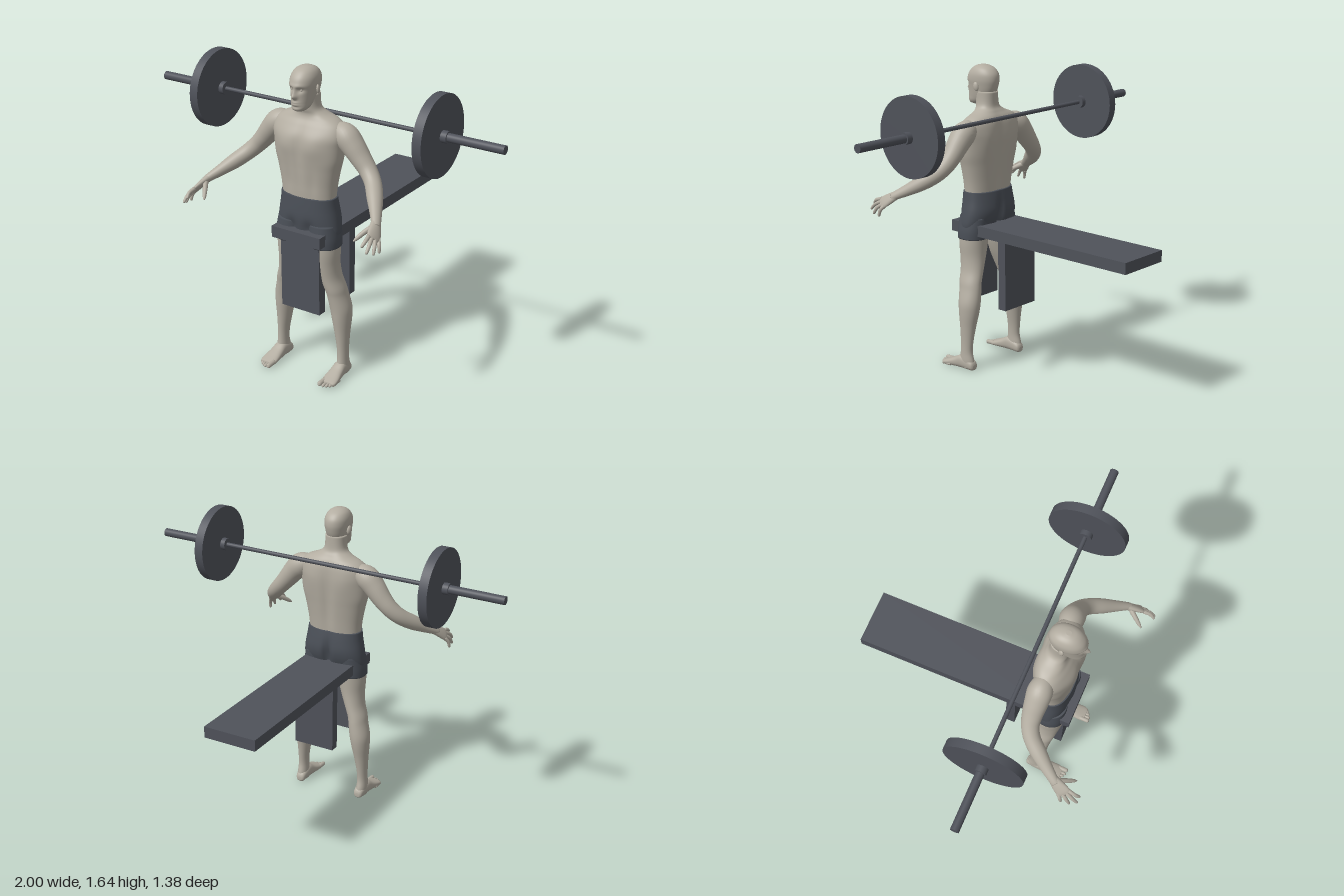
import * as THREE from 'three';

const mat = (name, color) => {
  const m = new THREE.MeshStandardMaterial({ color });
  m.name = name;
  return m;
};
const gauss = (d, s) => Math.exp(-(d * d) / (2 * s * s));

// Smooth (Catmull-Rom) resampling of rows of numbers
function resample(rows, n) {
  const out = [], last = rows.length - 1;
  for (let i = 0; i <= n; i++) {
    const f = (i / n) * last, k = Math.min(Math.floor(f), last - 1), t = f - k;
    const [a, b, c, d] = [-1, 0, 1, 2].map((o) => rows[Math.min(last, Math.max(0, k + o))]);
    out.push(b.map((_, j) => b[j] + 0.5 * t * (c[j] - a[j]
      + t * (2 * a[j] - 5 * b[j] + 4 * c[j] - d[j] + t * (3 * (b[j] - c[j]) + d[j] - a[j])))));
  }
  return out;
}

// Closed skin over equal-length rings, capped at both ends
function skinRings(rings) {
  const pos = [], index = [], m = rings[0].length, n = rings.length;
  rings.forEach((r) => r.forEach((p) => pos.push(p.x, p.y, p.z)));
  for (let i = 0; i < n - 1; i++) {
    for (let j = 0; j < m; j++) {
      const a = i * m + j, b = i * m + (j + 1) % m;
      index.push(a, a + m, b, b, a + m, b + m);
    }
  }
  for (const i of [0, n - 1]) {
    const c = rings[i].reduce((s, p) => s.add(p), new THREE.Vector3()).divideScalar(m);
    const id = pos.length / 3;
    pos.push(c.x, c.y, c.z);
    for (let j = 0; j < m; j++) {
      const a = i * m + j, b = i * m + (j + 1) % m;
      index.push(...(i === 0 ? [id, a, b] : [id, b, a]));
    }
  }
  const g = new THREE.BufferGeometry();
  g.setAttribute('position', new THREE.Float32BufferAttribute(pos, 3));
  g.setIndex(index);
  g.computeVertexNormals();
  return g;
}

// Stacked horizontal sections, rows [y, centreX, halfWidth, zFront, zBack], y ascending
function loft(rows, { steps = 40, segs = 40, power = 2, relief = null } = {}) {
  const bend = (v) => Math.sign(v) * Math.abs(v) ** (2 / power);
  return skinRings(resample(rows, steps).map(([y, cx, w, zf, zb]) =>
    Array.from({ length: segs }, (_, j) => {
      const a = (j / segs) * Math.PI * 2, s = Math.sin(a);
      const x = bend(Math.cos(a)) * Math.max(w, 0.001);
      const z = (zf + zb) / 2 + bend(s) * (zf - zb) / 2;
      return new THREE.Vector3(cx + x, y, z + (relief ? relief(x, y, s) : 0));
    })));
}

// Tapered limb, rows [x, y, z, radius, radius2]; radius lies along the wide direction
function limb(rows, wide, steps = 24, segs = 20) {
  const s = resample(rows, steps), at = (i) => new THREE.Vector3(...s[i].slice(0, 3));
  return skinRings(s.map(([, , , r, r2], i) => {
    const t = at(Math.min(i + 1, steps)).sub(at(Math.max(i - 1, 0))).normalize();
    const u = wide.clone().addScaledVector(t, -wide.dot(t)).normalize();
    const v = u.clone().cross(t);
    return Array.from({ length: segs }, (_, j) => {
      const a = (j / segs) * Math.PI * 2;
      return at(i).addScaledVector(u, Math.cos(a) * r).addScaledVector(v, Math.sin(a) * r2);
    });
  }));
}

// Muscle relief: chest, breastbone, spine groove and shoulder blades
function torsoRelief(x, y, s) {
  const ax = Math.abs(x);
  if (s > 0) {
    return s * (0.012 * gauss(ax - 0.08, 0.045) * gauss(y - 1.25, 0.045)
      - 0.006 * gauss(x, 0.012) * gauss(y - 1.2, 0.1)
      - 0.005 * gauss(ax - 0.07, 0.015) * gauss(y - 1.05, 0.06));
  }
  return -s * (0.014 * gauss(x, 0.02) * gauss(y - 1.15, 0.13)
    - 0.008 * gauss(ax - 0.1, 0.04) * gauss(y - 1.27, 0.06));
}

// Face relief: nose, eye sockets, brow, lips and chin
function faceRelief(x, y, s) {
  if (s <= 0) return 0;
  const ax = Math.abs(x);
  return s * (0.02 * gauss(x, 0.009) * gauss(y - 1.504, 0.009)
    + 0.012 * gauss(x, 0.007) * gauss(y - 1.524, 0.014)
    - 0.011 * gauss(ax - 0.026, 0.012) * gauss(y - 1.536, 0.009)
    + 0.004 * gauss(ax - 0.02, 0.02) * gauss(y - 1.556, 0.007)
    + 0.005 * gauss(x, 0.014) * (gauss(y - 1.475, 0.004) + gauss(y - 1.463, 0.004))
    - 0.004 * gauss(x, 0.02) * gauss(y - 1.452, 0.005));
}

export function createModel() {
  const model = new THREE.Group();
  model.name = 'lifterWithBarbellAndBench';
  const skin = mat('skin', 0xb3ada1);
  const cloth = mat('shortsCloth', 0x4a4f57);
  const steel = mat('darkSteel', 0x4f525a);
  const add = (name, geo, material, parent = model) => {
    const mesh = new THREE.Mesh(geo, material);
    mesh.name = name;
    parent.add(mesh);
    return mesh;
  };
  const group = (name) => {
    const g = new THREE.Group();
    g.name = name;
    model.add(g);
    return g;
  };

  // Bench: long seat and two board legs
  const bench = group('bench');
  add('benchSeat', new THREE.BoxGeometry(0.29, 0.06, 1.18), steel, bench).position.set(0, 0.775, -0.1);
  for (const [name, z] of [['benchFrontLeg', 0.43], ['benchRearLeg', 0.155]]) {
    add(name, new THREE.BoxGeometry(0.23, 0.385, 0.05), steel, bench).position.set(0, 0.5525, z);
  }

  // Barbell across the upper back
  const barbell = group('barbell');
  barbell.position.set(0, 1.37, 0.24);
  const rod = (name, r, x0, x1) => {
    const g = new THREE.CylinderGeometry(r, r, Math.abs(x1 - x0), 64).rotateZ(Math.PI / 2);
    add(name, g, steel, barbell).position.x = (x0 + x1) / 2;
  };
  rod('bar', 0.011, -0.62, 0.62);
  for (const s of [1, -1]) {
    rod('innerCollar', 0.033, s * 0.6, s * 0.627);
    rod('weightPlate', 0.204, s * 0.626, s * 0.674);
    rod('outerCollar', 0.03, s * 0.673, s * 0.705);
    rod('sleeve', 0.022, s * 0.7, s);
  }

  // Torso with neck
  const man = group('man');
  add('torso', loft([
    [0.95, 0, 0.146, 0.443, 0.282], [1.0, 0, 0.15, 0.447, 0.277], [1.05, 0, 0.157, 0.45, 0.272],
    [1.12, 0, 0.171, 0.456, 0.264], [1.18, 0, 0.186, 0.46, 0.258], [1.25, 0, 0.194, 0.46, 0.254],
    [1.3, 0, 0.2, 0.453, 0.254], [1.345, 0, 0.188, 0.43, 0.258], [1.375, 0, 0.152, 0.41, 0.268],
    [1.4, 0, 0.092, 0.404, 0.285], [1.43, 0, 0.06, 0.412, 0.3], [1.5, 0, 0.055, 0.42, 0.303],
  ], { steps: 66, segs: 72, power: 2.25, relief: torsoRelief }), skin, man);

  // Head, ears and eyes
  add('head', loft([
    [1.425, 0, 0.018, 0.455, 0.41], [1.432, 0, 0.032, 0.47, 0.39], [1.447, 0, 0.043, 0.477, 0.36],
    [1.47, 0, 0.05, 0.476, 0.325], [1.5, 0, 0.056, 0.475, 0.305], [1.53, 0, 0.061, 0.476, 0.294],
    [1.56, 0, 0.065, 0.478, 0.289], [1.59, 0, 0.063, 0.468, 0.294], [1.615, 0, 0.052, 0.447, 0.313],
    [1.63, 0, 0.034, 0.423, 0.34], [1.637, 0, 0.012, 0.395, 0.37],
  ], { steps: 80, segs: 96, power: 2.15, relief: faceRelief }), skin, man);

  // Shorts: pelvis
  add('shortsPelvis', loft([
    [0.76, 0, 0.172, 0.445, 0.295], [0.8, 0, 0.177, 0.452, 0.277], [0.84, 0, 0.174, 0.456, 0.264],
    [0.88, 0, 0.168, 0.457, 0.26], [0.93, 0, 0.159, 0.454, 0.266], [0.978, 0, 0.153, 0.45, 0.275],
  ], {
    steps: 30, segs: 72, power: 2.3,
    relief: (x, y, s) => (s < 0 ? -s * 0.03 * gauss(x, 0.012) * gauss(y - 0.84, 0.05)
      : -s * 0.015 * gauss(Math.abs(x) - 0.05, 0.02) * gauss(y - 0.81, 0.03)),
  }), cloth, man);

  for (const s of [1, -1]) {
    const side = s > 0 ? 'left' : 'right';
    const flip = (rows) => rows.map(([a, x, ...r]) => [a, x * s, ...r]);
    const flipX = (rows) => rows.map(([x, ...r]) => [x * s, ...r]);

    const ear = add(side + 'Ear', new THREE.SphereGeometry(1, 16, 12), skin, man);
    ear.scale.set(0.009, 0.024, 0.015);
    ear.position.set(s * 0.066, 1.527, 0.375);
    ear.rotation.set(0.2, s * 0.4, 0);
    add(side + 'Eye', new THREE.SphereGeometry(0.009, 16, 12), skin, man).position.set(s * 0.026, 1.536, 0.454);

    // Shorts leg and bare leg
    add(side + 'ShortsLeg', loft(flip([
      [0.722, 0.1, 0.08, 0.456, 0.29], [0.77, 0.098, 0.081, 0.456, 0.285], [0.84, 0.09, 0.078, 0.45, 0.28],
    ]), { steps: 12, power: 2.2 }), cloth, man);
    add(side + 'Leg', loft(flip([
      [0.01, 0.187, 0.027, 0.395, 0.3], [0.05, 0.188, 0.029, 0.395, 0.303], [0.1, 0.188, 0.027, 0.388, 0.314],
      [0.16, 0.186, 0.029, 0.387, 0.31], [0.24, 0.181, 0.038, 0.392, 0.298], [0.32, 0.176, 0.049, 0.4, 0.282],
      [0.38, 0.17, 0.054, 0.405, 0.277], [0.45, 0.156, 0.05, 0.414, 0.282], [0.49, 0.147, 0.05, 0.422, 0.287],
      [0.55, 0.125, 0.053, 0.432, 0.294], [0.62, 0.108, 0.064, 0.444, 0.298], [0.7, 0.1, 0.076, 0.452, 0.295],
      [0.8, 0.098, 0.075, 0.45, 0.29],
    ]), { steps: 60 }), skin, man);

    // Foot, lofted heel to toe, then laid flat
    add(side + 'Foot', loft(flip([
      [0.295, 0.185, 0.012, -0.008, -0.03], [0.305, 0.185, 0.025, 0, -0.05], [0.34, 0.186, 0.031, 0, -0.07],
      [0.38, 0.187, 0.034, 0, -0.078], [0.42, 0.188, 0.038, 0, -0.058], [0.46, 0.19, 0.043, 0, -0.04],
      [0.49, 0.191, 0.042, 0, -0.028], [0.505, 0.19, 0.034, -0.004, -0.022],
    ]), { steps: 30, power: 2.4 }).rotateX(Math.PI / 2), skin, man);
    for (let i = 0; i < 5; i++) {
      const x = 0.161 + [0, 0.021, 0.037, 0.051, 0.063][i], r = i ? 0.0085 : 0.0125;
      const tip = 0.535 - [0, 0.002, 0.01, 0.02, 0.033][i];
      add(side + 'Toe', limb(flipX([
        [x, r + 0.004, tip - 0.06, r, r], [x, r + 0.002, tip - 0.015, r, r],
        [x, r, tip - 0.004, r * 0.8, r * 0.8], [x, r, tip, r * 0.2, r * 0.2],
      ]), new THREE.Vector3(1, 0, 0), 12, 12), skin, man);
    }

    // Arm from shoulder to wrist
    const wide = new THREE.Vector3(0.415 * s, -0.461, -0.784);
    add(side + 'Arm', limb(flipX([
      [0.115, 1.335, 0.335, 0.02, 0.02], [0.15, 1.325, 0.335, 0.047, 0.047], [0.197, 1.303, 0.335, 0.063, 0.063],
      [0.24, 1.26, 0.335, 0.06, 0.058], [0.285, 1.205, 0.335, 0.053, 0.05], [0.33, 1.155, 0.342, 0.046, 0.044],
      [0.375, 1.11, 0.37, 0.043, 0.041], [0.42, 1.068, 0.425, 0.041, 0.038], [0.465, 1.028, 0.488, 0.032, 0.028],
      [0.5, 0.998, 0.54, 0.025, 0.02], [0.508, 0.988, 0.555, 0.024, 0.018],
    ]), wide, 48, 28), skin, man);

    // Hand: palm, four fingers and thumb
    add(side + 'Palm', limb(flipX([
      [0.495, 1.002, 0.532, 0.024, 0.019], [0.513, 0.978, 0.57, 0.034, 0.017],
      [0.527, 0.957, 0.602, 0.039, 0.014], [0.533, 0.947, 0.616, 0.034, 0.009],
    ]), wide, 16, 24), skin, man);
    const tips = [[0.515, 0.935, 0.69], [0.54, 0.907, 0.688], [0.556, 0.891, 0.652], [0.56, 0.885, 0.607]];
    tips.forEach(([x, y, z], i) => {
      const k = -0.029 + i * 0.0193;
      const base = [0.528 + 0.415 * k, 0.955 - 0.461 * k, 0.606 - 0.784 * k];
      const mid = [(base[0] + x) / 2 + 0.005, (base[1] + y) / 2 + 0.006, (base[2] + z) / 2 + 0.004];
      add(side + 'Finger', limb(flipX([
        [...base, 0.0105, 0.0105], [...mid, 0.0095, 0.0095],
        [x * 0.85 + mid[0] * 0.15, y * 0.85 + mid[1] * 0.15, z * 0.85 + mid[2] * 0.15, 0.007, 0.007],
        [x, y, z, 0.002, 0.002],
      ]), wide, 12, 12), skin, man);
    });
    add(side + 'Thumb', limb(flipX([
      [0.498, 0.988, 0.56, 0.016, 0.014], [0.472, 0.966, 0.598, 0.013, 0.012],
      [0.452, 0.942, 0.63, 0.01, 0.009], [0.442, 0.93, 0.645, 0.003, 0.003],
    ]), wide, 14, 14), skin, man);
  }
  return model;
}
